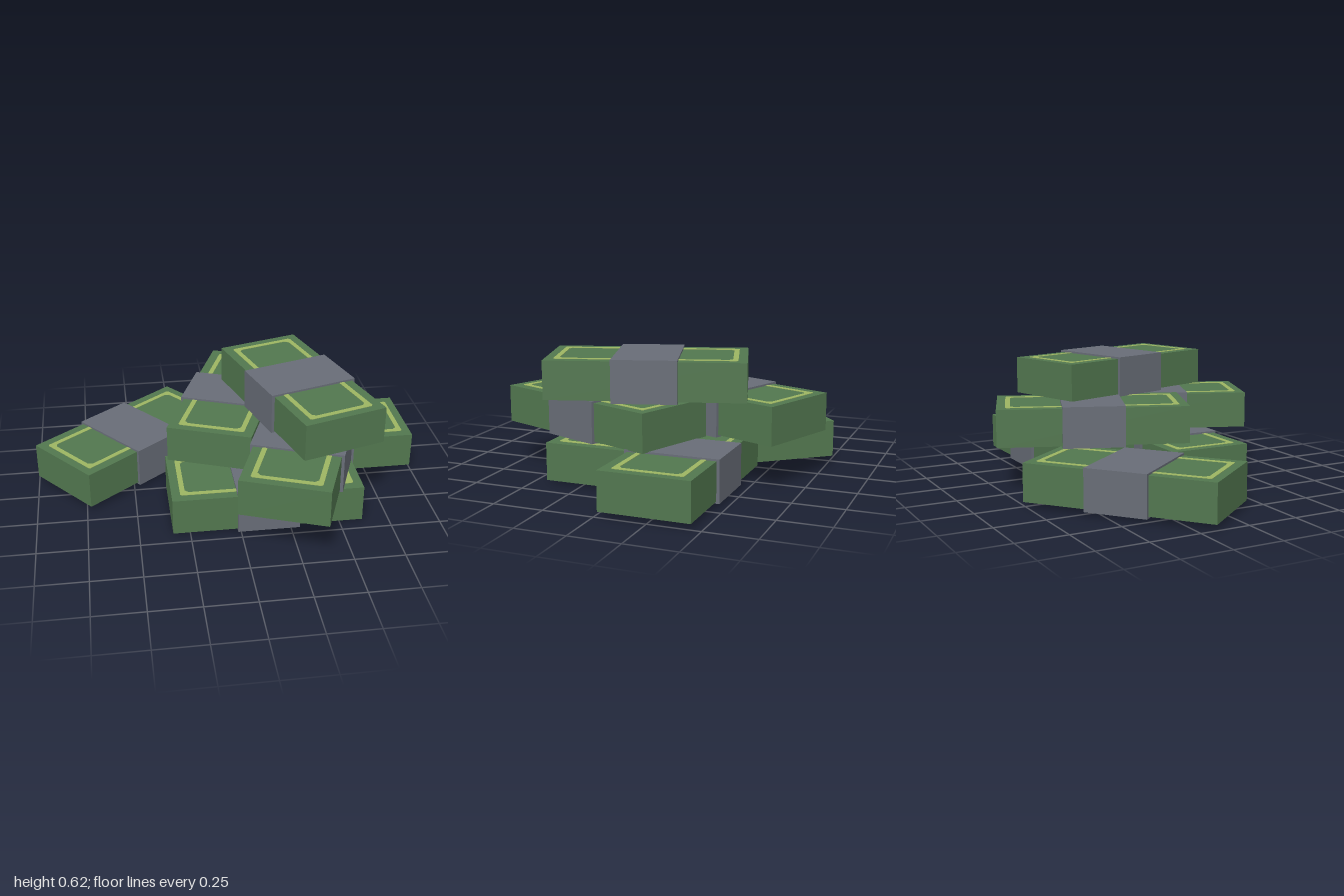
import * as THREE from 'three';

const LENGTH = 0.95, HEIGHT = 0.187, WIDTH = 0.435;

const make = (name, color) => {
  const m = new THREE.MeshStandardMaterial({ color });
  m.name = name;
  return m;
};

// Rectangle with cut corners, as a point list
function cutRect(hx, hy, c) {
  return [
    [hx - c, -hy], [hx, c - hy], [hx, hy - c], [hx - c, hy],
    [c - hx, hy], [-hx, hy - c], [-hx, c - hy], [c - hx, -hy],
  ].map(([x, y]) => new THREE.Vector2(x, y));
}

export function createModel() {
  const green = make('noteGreen', 0x52774f);
  const lime = make('borderLime', 0x9db562);
  const grey = make('bandGrey', 0x686d77);

  const stackGeo = new THREE.BoxGeometry(LENGTH, HEIGHT, WIDTH);
  const bandGeo = new THREE.BoxGeometry(0.31, 0.206, 0.465);

  // Thin printed border, lying flat and centred on its own thickness
  const border = new THREE.Shape(cutRect(0.432, 0.17, 0.008));
  border.holes.push(new THREE.Path(cutRect(0.407, 0.145, 0.018)));
  const borderGeo = new THREE.ExtrudeGeometry(border, { depth: 0.004, bevelEnabled: false });
  borderGeo.translate(0, 0, -0.002).rotateX(-Math.PI / 2);

  function bundle(name, x, y, z, degrees) {
    const g = new THREE.Group();
    g.name = name;
    const add = (part, geo, mat, py = 0) => {
      const mesh = new THREE.Mesh(geo, mat);
      mesh.name = part;
      mesh.position.y = py;
      g.add(mesh);
    };
    add('noteStack', stackGeo, green);
    add('paperBand', bandGeo, grey);
    add('topBorder', borderGeo, lime, HEIGHT / 2);
    add('bottomBorder', borderGeo, lime, -HEIGHT / 2);
    g.position.set(x, y, z);
    g.rotation.y = THREE.MathUtils.degToRad(degrees);
    return g;
  }

  const model = new THREE.Group();
  model.name = 'banknotePile';
  model.add(
    // Bottom layer
    bundle('frontBundle', 0.14, 0.104, 0.22, 0),
    bundle('leftBackBundle', 0.52, 0.119, -0.233, 0),
    bundle('rightBundle', -0.495, 0.121, -0.297, 38.8),
    // Middle layer
    bundle('middleFrontBundle', 0.333, 0.313, 0.256, 68.7),
    bundle('middleBackBundle', 0.047, 0.326, -0.264, 68.7),
    // Top
    bundle('topBundle', 0.359, 0.522, 0.007, -73.1),
  );
  return model;
}
